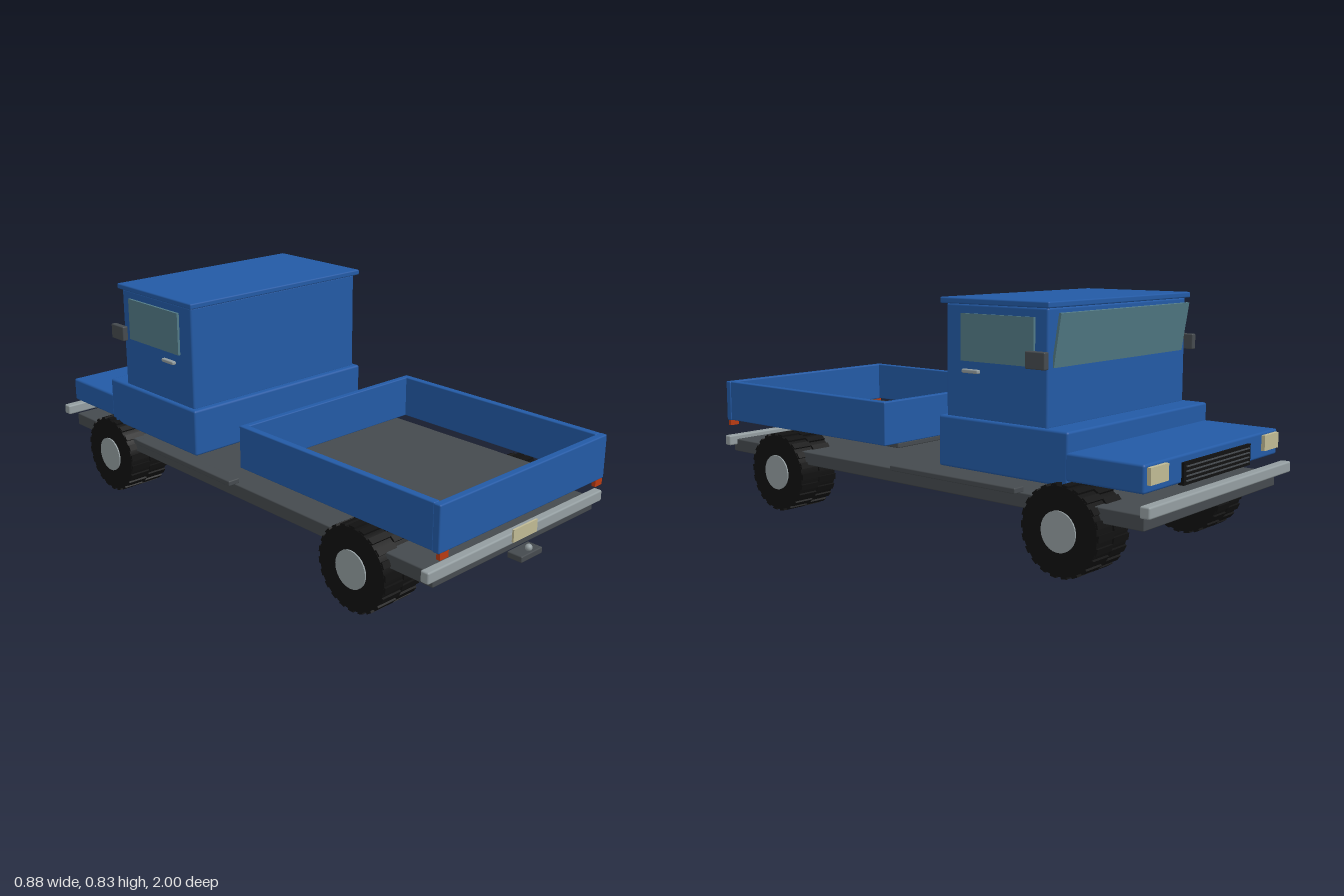
import * as THREE from 'three';
import { RoundedBoxGeometry } from 'three/addons/geometries/RoundedBoxGeometry.js';

function material(name, color) {
  const m = new THREE.MeshStandardMaterial({ color });
  m.name = name;
  return m;
}

export function createModel() {
  const truck = new THREE.Group();
  truck.name = 'pickupTruck';

  const blue = material('bluePaint', 0x235aa5);
  const grey = material('darkGrey', 0x454a4e);
  const silver = material('silver', 0x939da0);
  const black = material('rubberBlack', 0x111111);
  const glass = material('glass', 0x527a86);
  const cream = material('cream', 0xc0ba94);
  const orange = material('tailOrange', 0xb83a12);

  // Box given by its limits on each axis, with slightly eased edges
  function box(name, mat, x0, x1, y0, y1, z0, z1, bevel = 0.004, parent = truck) {
    const w = x1 - x0, h = y1 - y0, d = z1 - z0;
    const geo = bevel > 0
      ? new RoundedBoxGeometry(w, h, d, 2, Math.min(bevel, Math.min(w, h, d) * 0.4))
      : new THREE.BoxGeometry(w, h, d);
    const mesh = new THREE.Mesh(geo, mat);
    mesh.name = name;
    mesh.position.set((x0 + x1) / 2, (y0 + y1) / 2, (z0 + z1) / 2);
    parent.add(mesh);
    return mesh;
  }

  // The same box on both sides of the truck
  function pair(name, mat, x0, x1, ...rest) {
    box(name + 'Left', mat, x0, x1, ...rest);
    box(name + 'Right', mat, -x1, -x0, ...rest);
  }

  // Chassis, running boards and bumpers
  box('chassis', grey, -0.405, 0.405, 0.187, 0.235, -0.96, 0.945);
  pair('runningBoard', grey, 0.385, 0.432, 0.233, 0.252, -0.505, 0.045);
  box('frontBumper', silver, -0.44, 0.44, 0.234, 0.271, -1.0, -0.965, 0.006);
  box('rearBumper', silver, -0.44, 0.44, 0.213, 0.252, 0.925, 0.957, 0.006);

  // Cab
  box('cabBase', blue, -0.41, 0.41, 0.277, 0.446, -0.69, -0.165, 0.008);
  box('hood', blue, -0.41, 0.41, 0.296, 0.383, -0.96, -0.68, 0.008);
  box('cabUpper', blue, -0.395, 0.395, 0.44, 0.812, -0.602, -0.187, 0.008);
  box('roof', blue, -0.408, 0.408, 0.811, 0.831, -0.614, -0.17, 0.005);

  // Glass, with the windshield leaning forward at the top
  pair('sideWindow', glass, 0.395, 0.404, 0.63, 0.782, -0.553, -0.257, 0);
  const windshield = box('windshield', glass, -0.37, 0.37, 0.628, 0.797, -0.619, -0.61, 0);
  windshield.rotation.x = -0.16;

  // Mirrors and door handles
  pair('mirror', grey, 0.416, 0.438, 0.628, 0.682, -0.622, -0.546);
  pair('doorHandle', silver, 0.403, 0.419, 0.593, 0.606, -0.34, -0.272);

  // Headlights and grille
  pair('headlight', cream, 0.298, 0.395, 0.322, 0.374, -0.973, -0.958, 0);
  box('grille', black, -0.207, 0.207, 0.29, 0.36, -0.969, -0.95, 0);
  for (let i = 0; i < 4; i++) {
    const y = 0.303 + i * 0.0147;
    box('grilleSlat', grey, -0.195, 0.195, y - 0.002, y + 0.002, -0.973, -0.967, 0);
  }

  // Open load bed
  box('bedFloor', grey, -0.345, 0.345, 0.292, 0.311, 0.09, 0.945);
  pair('bedSide', blue, 0.388, 0.414, 0.31, 0.462, 0.085, 0.947);
  box('bedFrontWall', blue, -0.41, 0.41, 0.31, 0.462, 0.085, 0.108);
  box('tailgate', blue, -0.416, 0.416, 0.308, 0.462, 0.945, 0.972, 0.005);
  pair('tailLight', orange, 0.371, 0.409, 0.287, 0.312, 0.957, 0.971, 0);

  // Number plate and tow hitch
  box('rearPlate', cream, -0.06, 0.06, 0.227, 0.27, 0.963, 0.97, 0);
  box('hitch', grey, -0.053, 0.053, 0.165, 0.187, 0.943, 1.0);
  const ball = new THREE.Mesh(new THREE.SphereGeometry(0.012, 16, 10), silver);
  ball.name = 'hitchBall';
  ball.position.set(0, 0.197, 0.985);
  truck.add(ball);

  // Wheels: tyre with two staggered rows of tread blocks and a plain hub
  const tyreGeo = new THREE.CylinderGeometry(0.14, 0.14, 0.162, 32).rotateZ(Math.PI / 2);
  const hubGeo = new THREE.CylinderGeometry(0.065, 0.065, 0.1, 24).rotateZ(Math.PI / 2);
  const lugGeo = new THREE.BoxGeometry(0.08, 0.012, 0.022);
  const lugs = 22;
  function wheel(name, side, z) {
    const group = new THREE.Group();
    group.name = name;
    group.position.set(side * 0.356, 0.146, z);
    const tyre = new THREE.Mesh(tyreGeo, black);
    tyre.name = 'tyre';
    const hub = new THREE.Mesh(hubGeo, silver);
    hub.name = 'hub';
    hub.position.x = side * 0.036;
    group.add(tyre, hub);
    for (const row of [-1, 1]) {
      for (let i = 0; i < lugs; i++) {
        const a = ((i + (row > 0 ? 0.5 : 0)) / lugs) * Math.PI * 2;
        const lug = new THREE.Mesh(lugGeo, black);
        lug.name = 'treadBlock';
        lug.position.set(row * 0.0405, Math.cos(a) * 0.14, Math.sin(a) * 0.14);
        lug.rotation.x = a;
        group.add(lug);
      }
    }
    truck.add(group);
  }
  for (const [label, side] of [['Left', 1], ['Right', -1]]) {
    wheel('frontWheel' + label, side, -0.68);
    wheel('rearWheel' + label, side, 0.643);
  }

  return truck;
}
